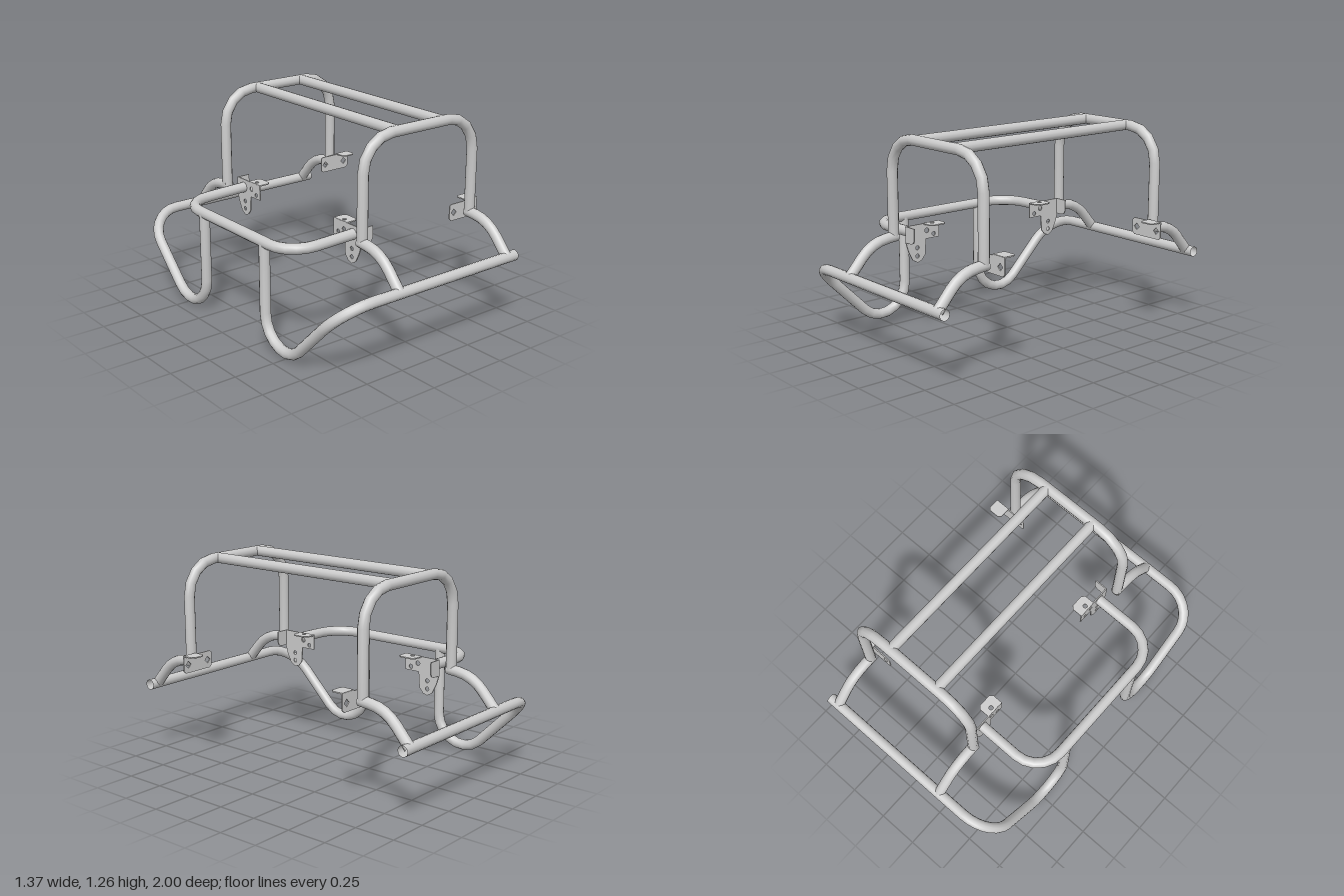
import * as THREE from 'three';

const material = new THREE.MeshStandardMaterial({ color: 0xcccccc, side: THREE.DoubleSide });
const R = 0.032;
const V = (x, y, z) => new THREE.Vector3(x, y, z);

// Path that visits its points one ring each, so bends stay crisp
class RingPath extends THREE.Curve {
  constructor(points) { super(); this.points = points; }
  index(u) { return Math.round(u * (this.points.length - 1)); }
  getPointAt(u, target = V()) { return target.copy(this.points[this.index(u)]); }
  getTangentAt(u, target = V()) {
    const i = this.index(u), p = this.points, n = p.length - 1;
    const a = i > 0 ? p[i].clone().sub(p[i - 1]).normalize() : V(0, 0, 0);
    const b = i < n ? p[i + 1].clone().sub(p[i]).normalize() : V(0, 0, 0);
    return target.copy(a.add(b)).normalize();
  }
}

// Rounds every inner corner of a polyline with an arc of the given radius
function bend(corners, radius, steps = 5) {
  const out = [corners[0]];
  for (let i = 1; i < corners.length - 1; i++) {
    const r = Array.isArray(radius) ? radius[i - 1] : radius;
    const d0 = corners[i].clone().sub(corners[i - 1]).normalize();
    const d1 = corners[i + 1].clone().sub(corners[i]).normalize();
    const turn = d0.angleTo(d1);
    const start = corners[i].clone().addScaledVector(d0, -r * Math.tan(turn / 2));
    const inward = d1.clone().addScaledVector(d0, -d1.dot(d0)).normalize();
    for (let k = 0; k <= steps; k++) {
      const a = turn * k / steps;
      out.push(start.clone()
        .addScaledVector(d0, r * Math.sin(a))
        .addScaledVector(inward, r * (1 - Math.cos(a))));
    }
  }
  out.push(corners[corners.length - 1]);
  return out;
}

function pipe(name, corners, radius = 0, steps = 5) {
  const points = bend(corners, radius, steps);
  const mesh = new THREE.Mesh(
    new THREE.TubeGeometry(new RingPath(points), points.length - 1, R, 12, false), material);
  mesh.name = name;
  return mesh;
}

// Thin sheet from an outline, with small holes given as [u, v, radius]
function sheet(name, outline, holes = [], sides = 10) {
  const shape = new THREE.Shape(outline.map(([u, v]) => new THREE.Vector2(u, v)));
  for (const [u, v, r] of holes) {
    const ring = [];
    for (let i = 0; i < sides; i++) {
      const a = i / sides * Math.PI * 2;
      ring.push(new THREE.Vector2(u + r * Math.cos(a), v + r * Math.sin(a)));
    }
    shape.holes.push(new THREE.Path(ring));
  }
  const geometry = new THREE.ExtrudeGeometry(shape, { depth: 0.007, bevelEnabled: false });
  const mesh = new THREE.Mesh(geometry, material);
  mesh.name = name;
  return mesh;
}

// Bracket joining the rear bar to a hoop leg
function rearBracket(s) {
  const g = new THREE.Group();
  g.name = 'rearBracket';
  const flip = (list) => list.map(([z, ...rest]) => [s * z, ...rest]);
  const plate = sheet('bracketPlate',
    flip([[0.36, 0.70], [0.60, 0.70], [0.60, 0.60], [0.585, 0.55], [0.555, 0.49], [0.52, 0.47],
      [0.49, 0.48], [0.465, 0.51], [0.457, 0.605], [0.36, 0.605]]),
    flip([[0.52, 0.56, 0.013], [0.52, 0.51, 0.013], [0.45, 0.655, 0.015], [0.40, 0.628, 0.013]]));
  plate.geometry.rotateY(-Math.PI / 2);
  plate.position.x = -0.204;

  const flange = sheet('bracketFlange',
    [[-0.21, 0.36], [-0.145, 0.36], [-0.127, 0.378], [-0.127, 0.457], [-0.145, 0.475], [-0.21, 0.475]]
      .map(([x, z]) => [x, s * z]), [[-0.185, s * 0.425, 0.013]]);
  flange.geometry.rotateX(Math.PI / 2);
  flange.position.y = 0.702;

  const tab = sheet('bracketTab',
    [[-0.21, 0.70], [-0.126, 0.70], [-0.126, 0.63], [-0.135, 0.612], [-0.155, 0.603], [-0.21, 0.603]]);
  tab.position.z = s * 0.597 - 0.0035;
  g.add(plate, flange, tab);
  return g;
}

// Plate with a folded top lip on the other hoop leg
function sideBracket(s) {
  const g = new THREE.Group();
  g.name = 'sideBracket';
  const plate = sheet('bracketPlate',
    [[0.462, 0.685], [0.477, 0.695], [0.59, 0.695], [0.59, 0.70], [0.685, 0.70], [0.685, 0.605],
      [0.67, 0.592], [0.477, 0.592], [0.462, 0.607]],
    [[0.496, 0.642, 0.021], [0.651, 0.642, 0.021]], 4);
  plate.position.z = s * 0.604 - 0.0035;
  const lip = sheet('bracketLip',
    [[0.59, 0.605], [0.685, 0.605], [0.685, 0.54], [0.67, 0.524], [0.605, 0.524], [0.59, 0.54]]
      .map(([x, z]) => [x, s * z]));
  lip.geometry.rotateX(Math.PI / 2);
  lip.position.y = 0.702;
  g.add(plate, lip);
  return g;
}

export function createModel() {
  const model = new THREE.Group();
  model.name = 'tubeFrame';
  const legs = [-0.25, 0.575], backX = -0.653, hoopZ = 0.655, topY = 1.235;

  for (const s of [1, -1]) {
    // Upright hoop
    model.add(pipe('hoop', [
      V(legs[0], 0.64, s * hoopZ), V(legs[0], topY, s * hoopZ),
      V(legs[1], topY, s * hoopZ), V(legs[1], 0.64, s * hoopZ)], 0.2, 4));

    // Curved arms from the hoop down to the side rail
    for (const x of legs) {
      model.add(pipe('outriggerArm', [
        V(x, 0.645, s * 0.635), V(x, 0.628, s * 0.81), V(x, 0.45, s * 0.967)], 0.26, 4));
    }

    // Side rail that drops into the rear loop and rises to the rear bar
    model.add(pipe('sideRail', [
      V(0.64, 0.45, s * 0.967), V(backX, 0.45, s * 0.967),
      V(backX, -0.217, s * 0.3), V(backX, 0.635, s * 0.3)], [0.21, 0.18], 7));

    model.add(rearBracket(s), sideBracket(s));
  }

  // Rear bar with its ends turned in to the brackets
  model.add(pipe('rearBar', [
    V(-0.21, 0.65, 0.53), V(backX, 0.638, 0.53),
    V(backX, 0.638, -0.53), V(-0.21, 0.65, -0.53)], 0.18));

  // Roof bars between the hoops
  for (const x of [-0.008, 0.332]) {
    model.add(pipe('roofBar', [V(x, topY, hoopZ), V(x, topY, -hoopZ)]));
  }
  return model;
}
